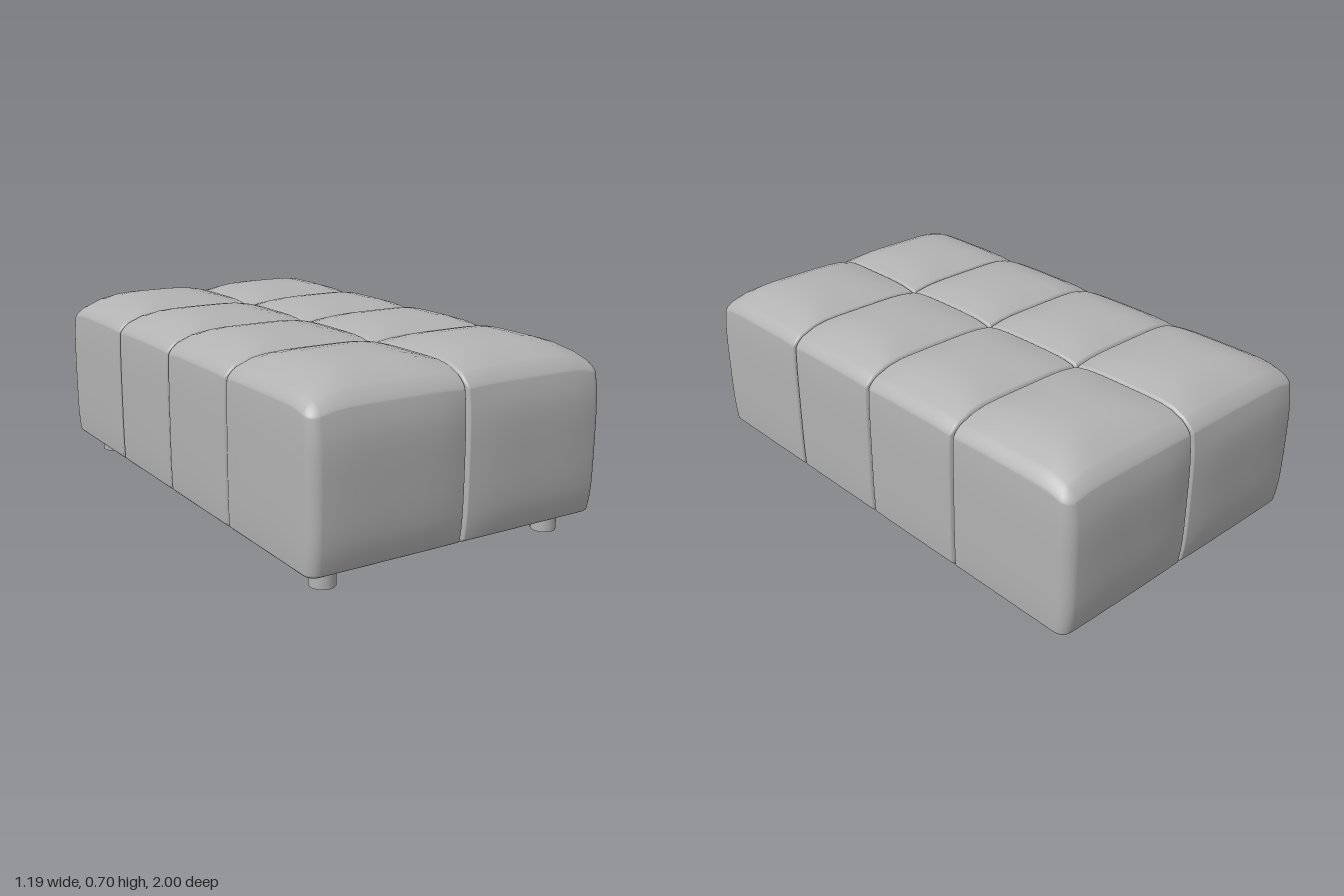
import * as THREE from 'three';
import { mergeVertices } from 'three/addons/utils/BufferGeometryUtils.js';

const BOTTOM = 0.07, TOP = 0.705;
const SEAM_R = 0.012, OUTER_R = 0.04;
const ROUND = 4, FLAT = 10, SEGS = FLAT + 2 * ROUND;

// One axis of a cushion: returns the inner (unrounded) position, the signed
// rounding amount -1..1 and the rounding radius for a grid index.
function axisSample(i, lo, hi, rLo, rHi) {
  if (i < ROUND) return { q: lo + rLo, d: -Math.tan((1 - i / ROUND) * Math.PI / 4), r: rLo };
  if (i > SEGS - ROUND) return { q: hi - rHi, d: Math.tan((1 - (SEGS - i) / ROUND) * Math.PI / 4), r: rHi };
  return { q: THREE.MathUtils.lerp(lo + rLo, hi - rHi, (i - ROUND) / FLAT), d: 0, r: 0 };
}

// Drop of the padded top from its peak: gentle to a seam, deeper to an outer edge
function topDrop(v, [lo, hi], peak, outerLo, outerHi) {
  const low = v < peak;
  const t = Math.min(1, low ? (peak - v) / (peak - lo) : (v - peak) / (hi - peak));
  return (low ? outerLo : outerHi) ? 0.085 * t ** 3 : 0.037 * t ** 2.5;
}

// Swelling of a face, 1 at the middle and 0 at the ends
const swell = (v, lo, hi) => {
  const t = THREE.MathUtils.clamp((2 * v - lo - hi) / (hi - lo), -1, 1);
  return 1 - t ** 4;
};

// Padded cushion between two x limits and two z limits
function cushionGeometry(xs, zs) {
  const outer = { xLo: xs[0] < -0.5, xHi: xs[1] > 0.5, zLo: zs[0] < -0.9, zHi: zs[1] > 0.9 };
  const rad = (o) => (o ? OUTER_R : SEAM_R);
  const peakX = Math.sign(xs[0] + xs[1]) * 0.27;
  const peakZ = (outer.zLo || outer.zHi) ? Math.sign(zs[0] + zs[1]) * 0.7 : (zs[0] + zs[1]) / 2;

  let geo = new THREE.BoxGeometry(1, 1, 1, SEGS, SEGS, SEGS);
  const pos = geo.attributes.position;
  const index = (v) => Math.round((v + 0.5) * SEGS);
  for (let i = 0; i < pos.count; i++) {
    const a = axisSample(index(pos.getX(i)), xs[0], xs[1], rad(outer.xLo), rad(outer.xHi));
    const b = axisSample(index(pos.getY(i)), BOTTOM, TOP, 0.025, 0.022);
    const c = axisSample(index(pos.getZ(i)), zs[0], zs[1], rad(outer.zLo), rad(outer.zHi));
    // Round the edges
    const len = Math.hypot(a.d, b.d, c.d) || 1;
    let x = a.q + a.d / len * a.r;
    let y = b.q + b.d / len * b.r;
    let z = c.q + c.d / len * c.r;
    // Dome the top, scaling the walls with it
    const drop = Math.hypot(
      topDrop(x, xs, peakX, outer.xLo, outer.xHi),
      topDrop(z, zs, peakZ, outer.zLo, outer.zHi));
    const f = (y - BOTTOM) / (TOP - BOTTOM);
    y = BOTTOM + f * (TOP - BOTTOM - drop);
    // Swell the outer walls
    const sx = swell(x, ...xs), sy = swell(f, 0, 1), sz = swell(z, ...zs);
    const fx = (x - xs[0]) / (xs[1] - xs[0]), fz = (z - zs[0]) / (zs[1] - zs[0]);
    const bulgeX = 0.008 * sy * (0.5 + 0.5 * sz), bulgeZ = 0.03 * sy * (0.5 + 0.5 * sx);
    if (outer.xLo) x -= bulgeX * (1 - fx);
    if (outer.xHi) x += bulgeX * fx;
    if (outer.zLo) z -= bulgeZ * (1 - fz);
    if (outer.zHi) z += bulgeZ * fz;
    pos.setXYZ(i, x, y, z);
  }
  geo.deleteAttribute('uv');
  geo.deleteAttribute('normal');
  geo = mergeVertices(geo, 1e-5);
  geo.computeVertexNormals();
  return geo;
}

export function createModel() {
  const model = new THREE.Group();
  model.name = 'tuftedOttoman';
  const fabric = new THREE.MeshStandardMaterial({ color: 0xb2b2b2 });
  fabric.name = 'grey fabric';

  // Cushions: two across, four deep
  const cushions = new THREE.Group();
  cushions.name = 'cushions';
  const xLines = [-0.586, 0, 0.586];
  const zLines = [-0.97, -0.45, 0, 0.45, 0.97];
  for (let i = 0; i < 2; i++) {
    for (let j = 0; j < 4; j++) {
      const mesh = new THREE.Mesh(
        cushionGeometry([xLines[i], xLines[i + 1]], [zLines[j], zLines[j + 1]]), fabric);
      mesh.name = 'cushion';
      cushions.add(mesh);
    }
  }
  model.add(cushions);

  // Round legs under the corners
  const legGeo = new THREE.CylinderGeometry(0.045, 0.045, 0.1, 32);
  for (const x of [-0.468, 0.468]) {
    for (const z of [-0.86, 0.86]) {
      const leg = new THREE.Mesh(legGeo, fabric);
      leg.name = z > 0 ? 'frontLeg' : 'backLeg';
      leg.position.set(x, 0.05, z);
      model.add(leg);
    }
  }
  return model;
}
